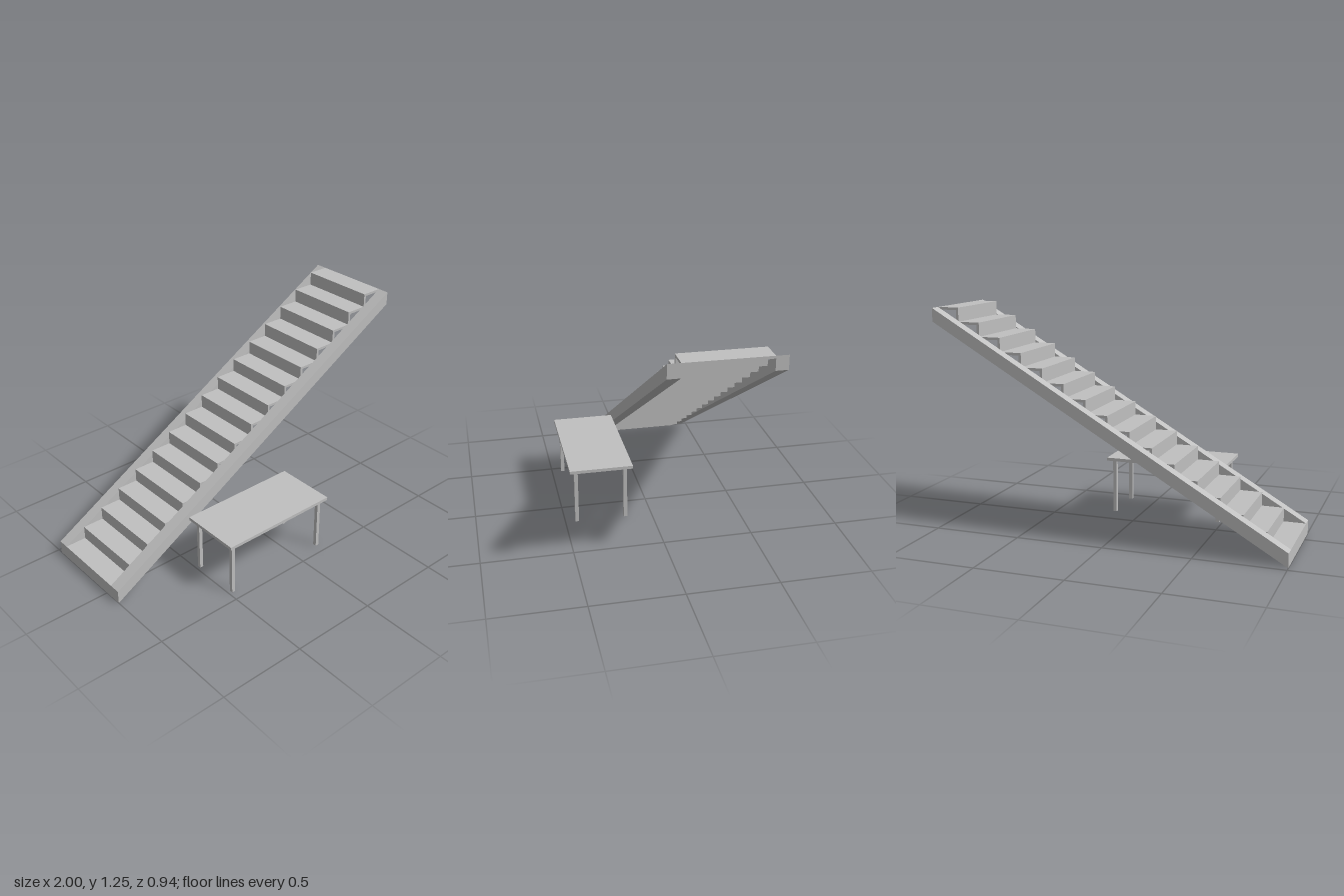
import * as THREE from 'three';

const STEPS = 16, RUN = 2 / STEPS, RISE = 1.25 / STEPS, BOARD = 0.014;

// Side profile in x/y extruded from z0 to z1
function extrudeProfile(points, z0, z1, material, name) {
  const shape = new THREE.Shape(points.map(([x, y]) => new THREE.Vector2(x, y)));
  const geometry = new THREE.ExtrudeGeometry(shape, { depth: z1 - z0, bevelEnabled: false });
  geometry.translate(0, 0, z0);
  const mesh = new THREE.Mesh(geometry, material);
  mesh.name = name;
  return mesh;
}

function box(w, h, d, x, y, z, material, name) {
  const mesh = new THREE.Mesh(new THREE.BoxGeometry(w, h, d), material);
  mesh.position.set(x, y, z);
  mesh.name = name;
  return mesh;
}

function createStaircase(material) {
  const stairs = new THREE.Group();
  stairs.name = 'staircase';

  // Folded run of treads and risers: upper outline, then underside back down
  const profile = [[-1, 0]];
  for (let i = 0; i < STEPS; i++) {
    const x = -1 + i * RUN, y = (i + 1) * RISE;
    profile.push([x, y], [x + RUN, y]);
  }
  profile.push([1, STEPS * RISE - BOARD]);
  for (let i = STEPS - 1; i >= 0; i--) {
    const x = -1 + i * RUN + BOARD;
    profile.push([x, (i + 1) * RISE - BOARD], [x, Math.max(0, i * RISE - BOARD)]);
  }
  stairs.add(extrudeProfile(profile, -0.405, 0.045, material, 'treadsAndRisers'));

  // Sloping side beams
  const beam = [[-1, 0], [1, 1.175], [1, 1.25], [-1, 0.078]];
  stairs.add(extrudeProfile(beam, 0.045, 0.112, material, 'frontStringer'));
  stairs.add(extrudeProfile(beam, -0.47, -0.405, material, 'backStringer'));
  return stairs;
}

function createTable(material) {
  const table = new THREE.Group();
  table.name = 'table';
  table.add(box(0.711, 0.018, 0.358, -0.1525, 0.327, 0.291, material, 'tableTop'));
  for (const x of [-0.47, 0.165]) {
    for (const z of [0.152, 0.433]) {
      table.add(box(0.021, 0.318, 0.021, x, 0.159, z, material, 'tableLeg'));
    }
  }
  return table;
}

export function createModel() {
  const material = new THREE.MeshStandardMaterial({ color: 0xc0c0c0 });
  material.name = 'light grey';
  const model = new THREE.Group();
  model.name = 'stairsAndTable';
  model.add(createStaircase(material), createTable(material));
  return model;
}
